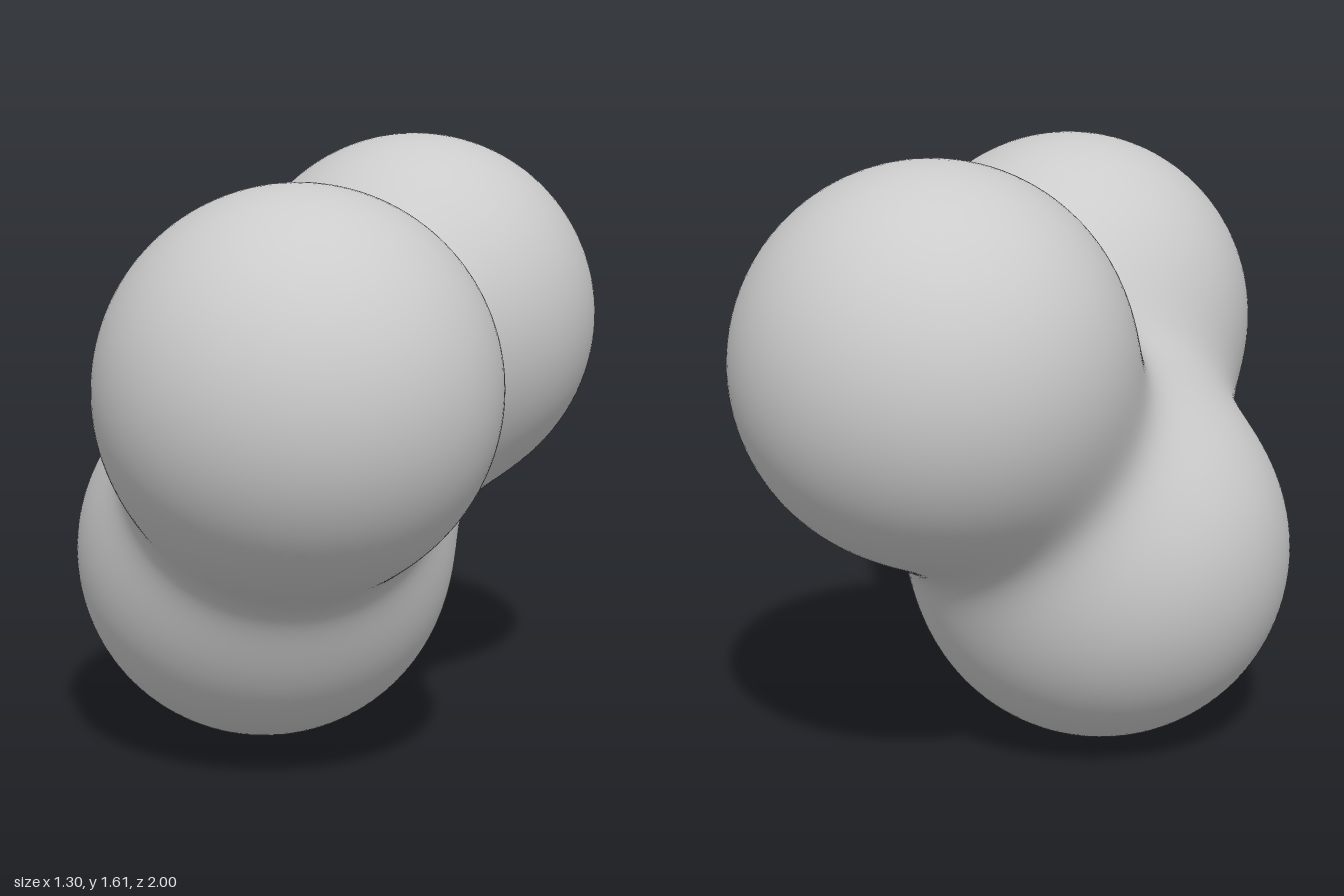
import * as THREE from 'three';
import { mergeVertices } from 'three/addons/utils/BufferGeometryUtils.js';

// Three equal balls melted together into one smooth skin
const RADIUS = 0.507;
const SHARPNESS = 10.5; // higher = tighter creases between the balls
const BALLS = [
  new THREE.Vector3(0.12, 1.035, 0.493),   // front
  new THREE.Vector3(0.14, 1.1, -0.493),    // back
  new THREE.Vector3(-0.143, 0.507, -0.01), // lower
];

// Smooth union of the balls: negative inside, zero on the skin.
// Writes the outward direction into normal when one is given.
function field(p, normal) {
  let sum = 0;
  if (normal) normal.set(0, 0, 0);
  for (const c of BALLS) {
    const d = p.distanceTo(c);
    const w = Math.exp(-SHARPNESS * (d - RADIUS));
    sum += w;
    if (normal) normal.addScaledVector(p.clone().sub(c), w / d);
  }
  if (normal) normal.normalize();
  return -Math.log(sum) / SHARPNESS;
}

function blobGeometry() {
  let geo = new THREE.IcosahedronGeometry(1, 36);
  geo.deleteAttribute('uv');
  geo.deleteAttribute('normal');
  geo = mergeVertices(geo, 1e-5);

  const centre = new THREE.Vector3();
  BALLS.forEach((c) => centre.addScaledVector(c, 1 / BALLS.length));

  // Push every vertex out along its ray until it meets the skin
  const pos = geo.attributes.position;
  const normals = new Float32Array(pos.count * 3);
  const dir = new THREE.Vector3(), p = new THREE.Vector3(), n = new THREE.Vector3();
  for (let i = 0; i < pos.count; i++) {
    dir.fromBufferAttribute(pos, i).normalize();
    let near = 0, far = 1.6;
    for (let s = 0; s < 26; s++) {
      const mid = (near + far) / 2;
      p.copy(centre).addScaledVector(dir, mid);
      if (field(p) < 0) near = mid;
      else far = mid;
    }
    field(p, n);
    pos.setXYZ(i, p.x, p.y, p.z);
    n.toArray(normals, i * 3);
  }
  geo.setAttribute('normal', new THREE.BufferAttribute(normals, 3));
  return geo;
}

export function createModel() {
  const group = new THREE.Group();
  group.name = 'meltedBalls';
  const blob = new THREE.Mesh(blobGeometry(), new THREE.MeshStandardMaterial({ color: 0xcccccc }));
  blob.name = 'blob';
  group.add(blob);
  return group;
}
